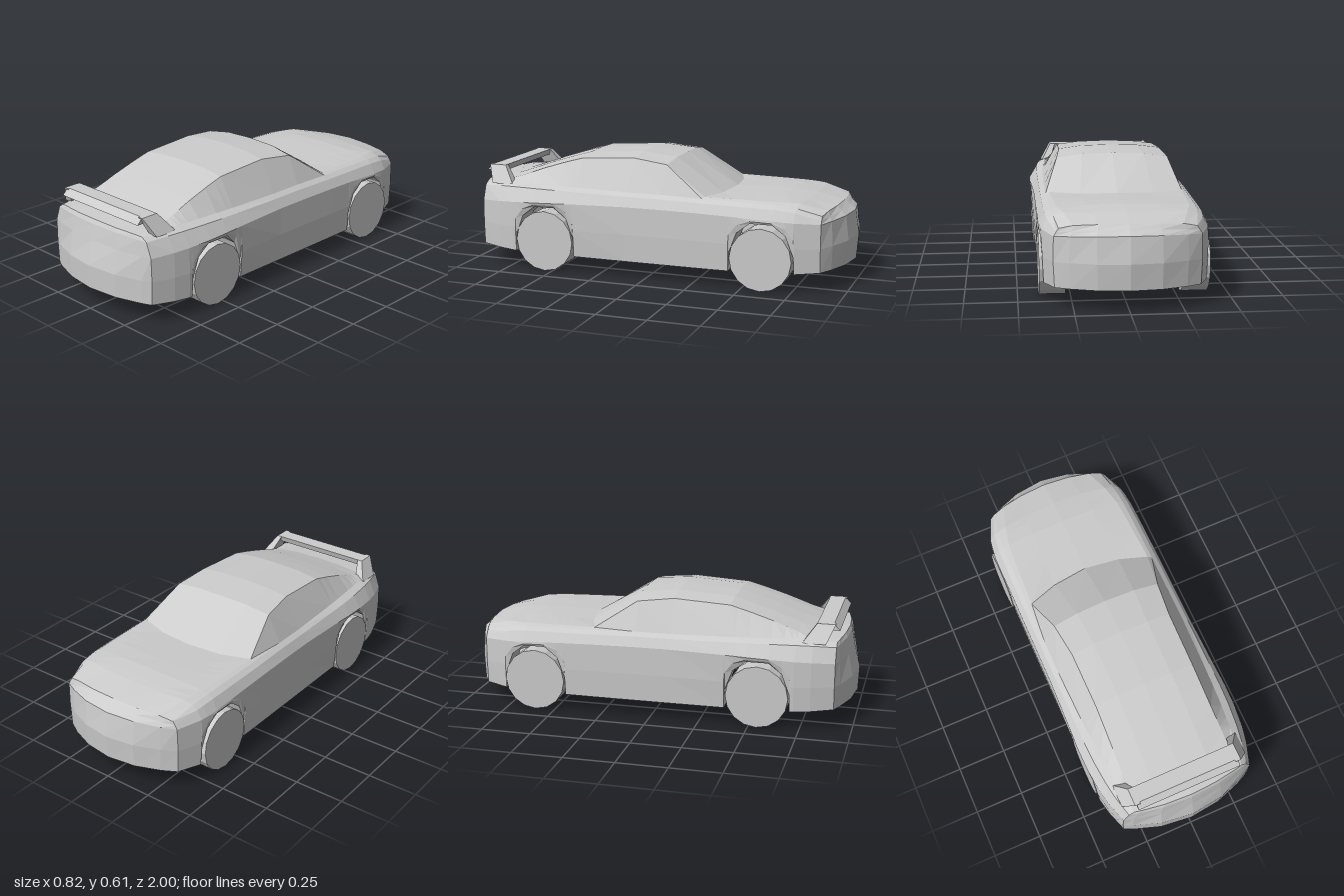
import * as THREE from 'three';

const material = new THREE.MeshStandardMaterial({ color: 0xcccccc, flatShading: true, side: THREE.DoubleSide });

// Body stations from nose to tail:
// z, waist x, base x y, roof/deck edge x y, centre y, lengthwise bow
const KEYS = [
  [-0.88, 0.338, 0.315, 0.375, 0.25, 0.39, 0.4, -0.045],
  [-0.75, 0.388, 0.335, 0.41, 0.29, 0.425, 0.43, -0.03],
  [-0.64, 0.398, 0.345, 0.42, 0.315, 0.428, 0.443, -0.01],
  [-0.29, 0.4, 0.35, 0.425, 0.33, 0.432, 0.435, -0.08],
  [-0.08, 0.4, 0.35, 0.43, 0.285, 0.57, 0.594, -0.02],
  [0.1, 0.4, 0.35, 0.43, 0.265, 0.59, 0.61, -0.01],
  [0.38, 0.408, 0.342, 0.434, 0.262, 0.573, 0.592, 0],
  [0.55, 0.415, 0.335, 0.437, 0.265, 0.525, 0.543, 0],
  [0.72, 0.398, 0.32, 0.437, 0.27, 0.463, 0.483, 0],
  [0.8, 0.382, 0.31, 0.435, 0.27, 0.44, 0.455, 0.005],
  [0.91, 0.346, 0.29, 0.428, 0.25, 0.433, 0.442, 0.035],
];
const WHEEL_Z = [-0.6, 0.54];
// Wheel arch outline: distance from the axle, height (0 keeps the sill height)
const ARCH = [[0.162, 0], [0.158, 0.18], [0.12, 0.28], [0.055, 0.33]];

function keyAt(z) {
  const i = KEYS.findIndex((k) => k[0] >= z);
  const a = KEYS[i - 1], b = KEYS[i];
  const t = (z - a[0]) / (b[0] - a[0]);
  return a.map((v, n) => v + (b[n] - v) * t);
}

// Half section from the inner sill lip up to the centre line
function section([z, wx, cx, cy, ex, ey, top, bow], archY = 0) {
  const bx = Math.min(0.395, wx - 0.003), by = archY || 0.086 + 0.025 * z ** 4;
  const wy = 0.365 - 0.035 * z * z;
  const bowed = (x, y) => [x, y, z + bow * (1 - (x / cx) ** 2)];
  return [
    [bx * 0.68, by, z], [bx, by, z], [(bx + wx) / 2 + 0.004, (by + wy) / 2, z],
    [wx, wy, z], [(wx + cx) / 2, cy - 0.018, z],
    bowed(cx, cy), bowed(ex, ey), bowed(ex * 0.55, top - 0.004), bowed(0, top),
  ];
}

const mirrored = (half) => [...half, ...half.slice(0, -1).reverse().map(([x, y, z]) => [-x, y, z])];

// Surface through rows of points
function gridGeometry(rows) {
  const n = rows[0].length, index = [];
  for (let i = 0; i < rows.length - 1; i++) {
    for (let j = 0; j < n - 1; j++) {
      const a = i * n + j;
      index.push(a, a + 1, a + n + 1, a, a + n + 1, a + n);
    }
  }
  const g = new THREE.BufferGeometry();
  g.setAttribute('position', new THREE.Float32BufferAttribute(rows.flat(2), 3));
  g.setIndex(index);
  g.computeVertexNormals();
  return g;
}

function bodyGeometry() {
  const halves = KEYS.filter((k) => WHEEL_Z.every((w) => Math.abs(k[0] - w) > 0.165)).map((k) => section(k));
  for (const w of WHEEL_Z) {
    for (const [dz, y] of ARCH) {
      for (const s of [-1, 1]) halves.push(section(keyAt(w + s * dz), y));
    }
  }
  halves.sort((a, b) => a[0][2] - b[0][2]);
  return gridGeometry(halves.map(mirrored));
}

// Bumper face: joins the two sides of an end section with a rounded bulge per row
function bumperGeometry(key, bulges) {
  const half = section(key), [endZ, , cx, cy, , , top, bow] = key;
  const rows = half.slice(0, 6).map(([x, y, z], r) => mirrored(half.slice(5).map(([px, py]) => {
    const f = px / cx, round = 1 - f * f;
    const rise = r === 5 ? py - cy : (top - cy) * round * (r / 5);
    return [x * f, y + rise, z + (r === 5 ? bow : bulges[r]) * round];
  })));
  return gridGeometry(endZ > 0 ? rows.reverse() : rows);
}

// Box whose bottom and top faces are placed separately: [x0, x1, y, z0, z1]
function taperedBox(bottom, top) {
  const g = new THREE.BoxGeometry(1, 1, 1), p = g.attributes.position;
  for (let i = 0; i < p.count; i++) {
    const [x0, x1, y, z0, z1] = p.getY(i) > 0 ? top : bottom;
    p.setXYZ(i, p.getX(i) > 0 ? x1 : x0, y, p.getZ(i) > 0 ? z1 : z0);
  }
  g.computeVertexNormals();
  return g;
}

export function createModel() {
  const car = new THREE.Group();
  car.name = 'car';
  const add = (name, geometry) => {
    const mesh = new THREE.Mesh(geometry, material);
    mesh.name = name;
    car.add(mesh);
    return mesh;
  };

  add('body', bodyGeometry());
  add('frontBumper', bumperGeometry(KEYS[0], [-0.06, -0.11, -0.12, -0.1, -0.07]));
  add('rearBumper', bumperGeometry(KEYS[KEYS.length - 1], [0.04, 0.085, 0.09, 0.06, 0.045]));
  add('rearWing', taperedBox([-0.272, 0.272, 0.482, 0.82, 0.92], [-0.272, 0.272, 0.514, 0.81, 0.89]));

  for (const s of [-1, 1]) {
    const side = s > 0 ? 'left' : 'right';
    const span = (inner, outer) => (s > 0 ? [inner, outer] : [-outer, -inner]);

    // Wing support, leaning outward down to the fender
    add(side + 'WingSupport', taperedBox(
      [...span(0.285, 0.335), 0.425, 0.745, 0.86],
      [...span(0.255, 0.282), 0.514, 0.81, 0.9],
    ));

    // Wheels
    for (const z of WHEEL_Z) {
      const wheel = add(side + (z < 0 ? 'FrontWheel' : 'RearWheel'),
        new THREE.CylinderGeometry(0.155, 0.155, 0.125, 16).rotateZ(Math.PI / 2));
      wheel.position.set(s * 0.338, 0.155, z);
    }
  }
  return car;
}
